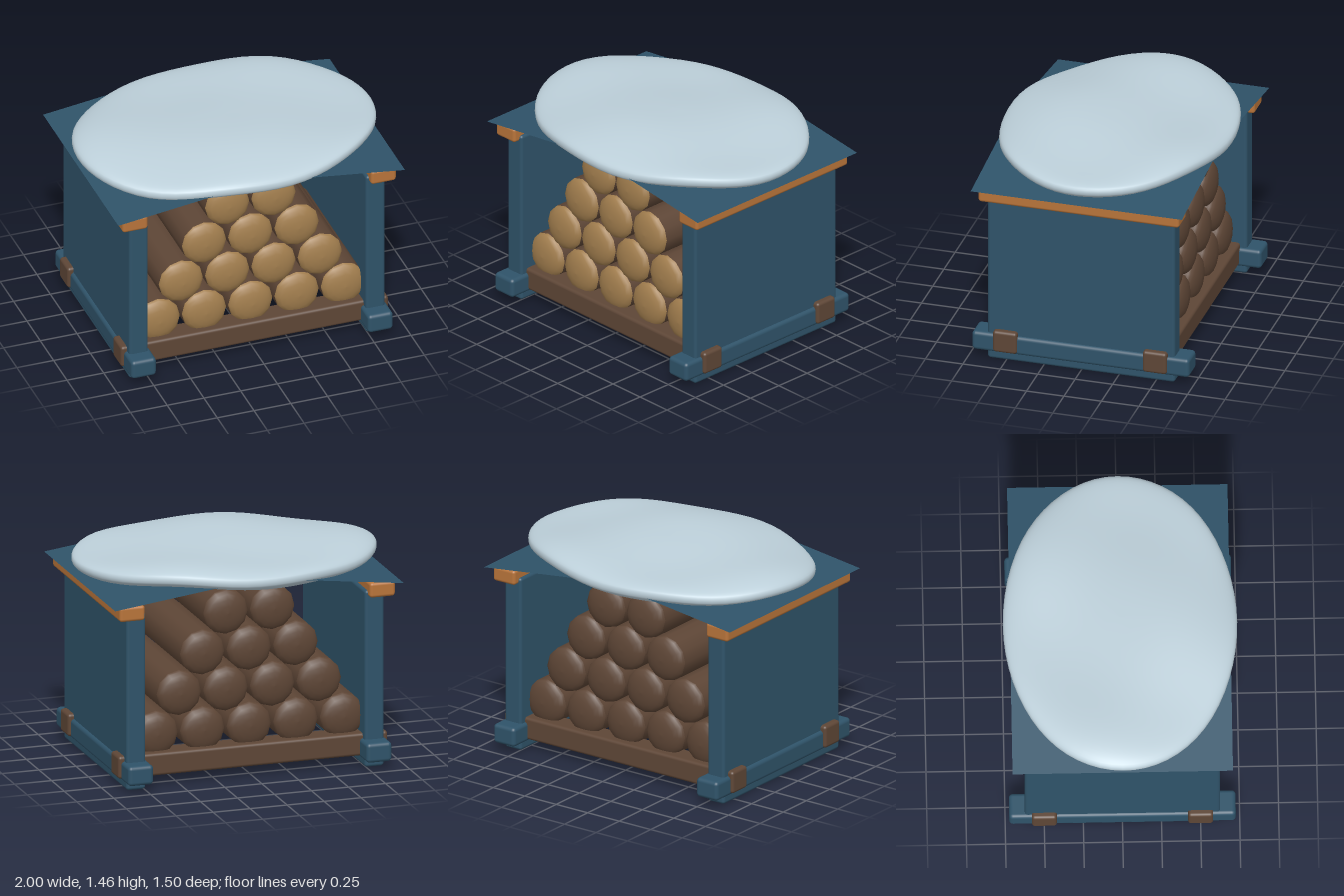
import * as THREE from 'three';
import { RoundedBoxGeometry } from 'three/addons/geometries/RoundedBoxGeometry.js';

const mat = (name, color, side = THREE.FrontSide) => {
  const m = new THREE.MeshStandardMaterial({ color, side });
  m.name = name;
  return m;
};

export function createModel() {
  const blue = mat('bluePaint', 0x2f5369);
  const roofBlue = blue.clone();
  roofBlue.side = THREE.DoubleSide;
  const orange = mat('orangeWood', 0xb8743a);
  const brown = mat('brownBark', 0x5e4636);
  const tan = mat('cutWood', 0xa27e4e);
  const snowMat = mat('snow', 0xbccfd9);

  const model = new THREE.Group();
  model.name = 'firewoodShelter';
  const add = (name, geometry, material, x = 0, y = 0, z = 0, parent = model) => {
    const mesh = new THREE.Mesh(geometry, material);
    mesh.name = name;
    mesh.position.set(x, y, z);
    parent.add(mesh);
    return mesh;
  };
  // Rounded box given by its lower and upper limits in y
  const block = (name, material, w, y0, y1, d, x, z, r = 0.02) =>
    add(name, new RoundedBoxGeometry(w, y1 - y0, d, 3, r), material, x, (y0 + y1) / 2, z);

  // Side walls with foot rails and top rails
  for (const [s, side] of [[1, 'left'], [-1, 'right']]) {
    block(side + 'Wall', blue, 0.13, 0, 1.18, 1.25, s * 0.805, 0);
    block(side + 'FootRail', blue, 0.17, 0.055, 0.185, 1.45, s * 0.805, 0, 0.025);
    block(side + 'TopRail', orange, 0.172, 1.14, 1.24, 1.34, s * 0.845, 0);
  }

  // Cross beams under the logs
  for (const [s, end] of [[1, 'front'], [-1, 'back']])
    block(end + 'Beam', brown, 1.82, 0.067, 0.217, 0.16, 0, s * 0.5);

  // Logs: bark with a domed back, plus a domed cut face at the front
  const R = 0.15, half = 0.49, dome = 0.06;
  const arc = (sign) => Array.from({ length: 6 }, (_, i) => {
    const a = (i / 5) * Math.PI / 2;
    return new THREE.Vector2(Math.max(R * Math.cos(a), 0), sign * (half + dome * Math.sin(a)));
  });
  const lathe = (pts) => new THREE.LatheGeometry(pts, 12).rotateX(Math.PI / 2);
  const sideGeo = lathe([new THREE.Vector2(R, -half), new THREE.Vector2(R, half)]);
  const backGeo = lathe(arc(-1).reverse());
  const frontGeo = lathe(arc(1));
  for (let row = 0; row < 4; row++) {
    const count = 5 - row;
    for (let i = 0; i < count; i++) {
      const log = new THREE.Group();
      log.name = `log${row + 1}_${i + 1}`;
      log.position.set((i - (count - 1) / 2) * 0.315, 0.325 + row * 0.256, 0);
      add('bark', sideGeo, brown, 0, 0, 0, log);
      add('backEnd', backGeo, brown, 0, 0, 0, log);
      add('cutFace', frontGeo, tan, 0, 0, 0, log);
      model.add(log);
    }
  }

  // Thin gabled roof sheet, ridge running front to back
  let roof = new THREE.PlaneGeometry(1.95, 1.41, 2, 1).rotateX(-Math.PI / 2);
  const rp = roof.attributes.position;
  for (let i = 0; i < rp.count; i++) rp.setY(i, 1.232 + 0.126 * (0.975 - Math.abs(rp.getX(i))));
  roof = roof.toNonIndexed();
  roof.computeVertexNormals();
  add('roof', roof, roofBlue);

  // Snow blanket: a flattened pillow with gentle waves
  const snow = new THREE.SphereGeometry(1, 64, 40);
  const sp = snow.attributes.position;
  for (let i = 0; i < sp.count; i++) {
    const x = sp.getX(i), y = sp.getY(i), z = sp.getZ(i);
    const r = Math.min(1, Math.hypot(x, z));
    // Squarer rim than a plain ellipsoid
    const k = r > 0 ? Math.pow(r, 0.85) / r : 1;
    const wave = 0.014 * Math.sin(5.5 * x + 2.2 * z + 0.6) + 0.012 * Math.sin(4.5 * z - 2.5 * x);
    const h = Math.sign(y) * 0.104 * Math.pow(Math.abs(y), 0.75);
    sp.setXYZ(i, x * k, 1.336 + h + wave + 0.015 * x * r * r, z * k * 0.75);
  }
  snow.computeVertexNormals();
  // Share normals across the seam
  const n = snow.attributes.normal;
  for (let j = 0; j <= 40; j++) {
    const a = j * 65, b = a + 64;
    const v = new THREE.Vector3().fromBufferAttribute(n, a)
      .add(new THREE.Vector3().fromBufferAttribute(n, b)).normalize();
    n.setXYZ(a, v.x, v.y, v.z);
    n.setXYZ(b, v.x, v.y, v.z);
  }
  add('snowBlanket', snow, snowMat);

  return model;
}
